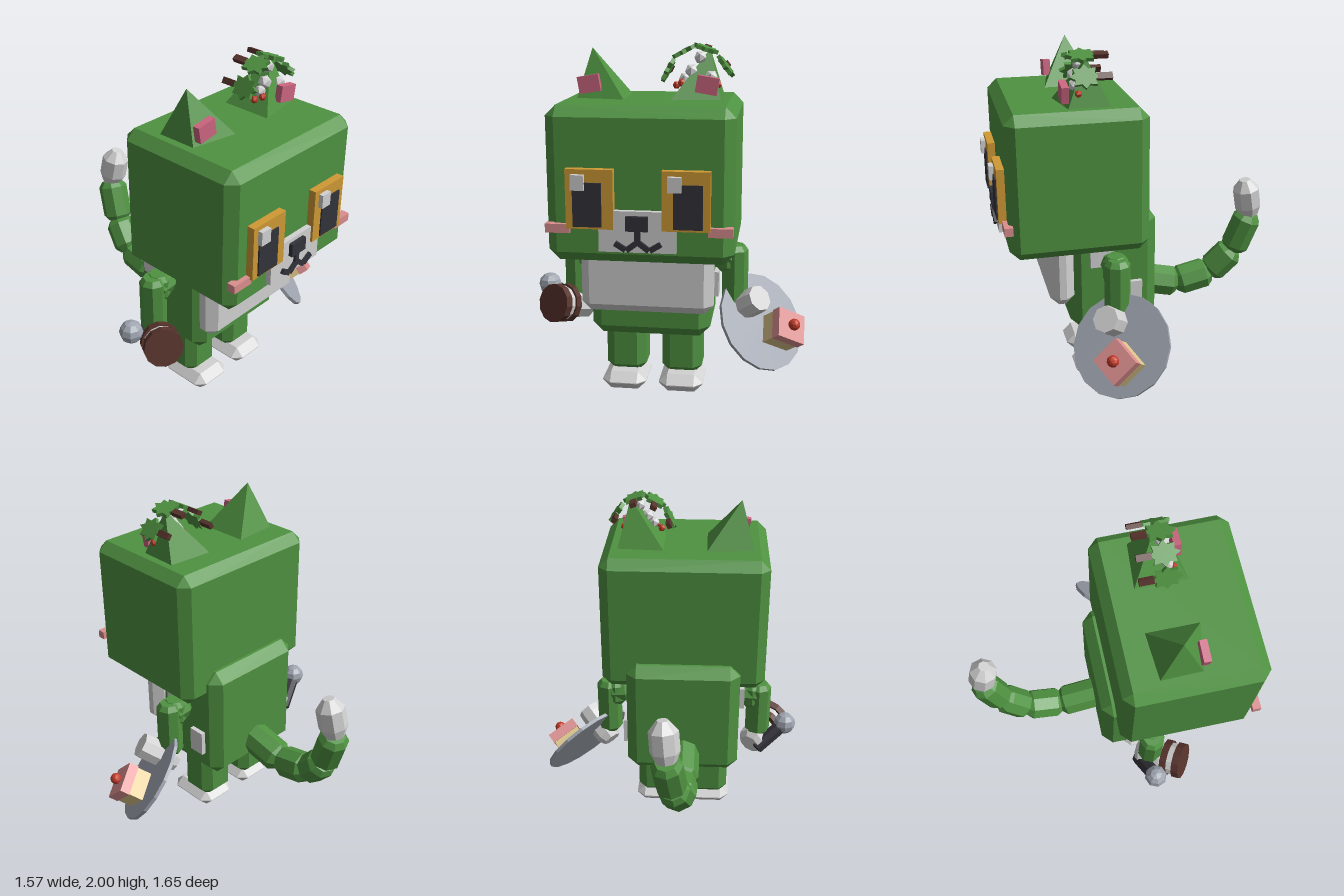
import * as THREE from 'three';
import { ConvexGeometry } from 'three/addons/geometries/ConvexGeometry.js';

const V = (x, y, z) => new THREE.Vector3(x, y, z);
const CX = -0.083; // mirror plane of the head and body

const material = (name, color) => {
  const m = new THREE.MeshStandardMaterial({ color, flatShading: true });
  m.name = name;
  return m;
};

export function createModel() {
  const green = material('green', 0x4f9241);
  const white = material('white', 0xd2d2d2);
  const amber = material('amber', 0xd09a35);
  const dark = material('charcoal', 0x33333b);
  const rose = material('rose', 0xcc6680);
  const pink = material('light pink', 0xdc8f8f);
  const grey = material('blue grey', 0x9fa5b0);
  const tan = material('sponge tan', 0xdcc48a);
  const brown = material('brown', 0x57332c);
  const red = material('red', 0xc23a28);

  const root = new THREE.Group();
  root.name = 'cubeCat';

  const add = (name, geo, mat, pos = [0, 0, 0], parent = root) => {
    const m = new THREE.Mesh(geo, mat);
    m.name = name;
    m.position.set(...pos);
    parent.add(m);
    return m;
  };
  const group = (name) => {
    const g = new THREE.Group();
    g.name = name;
    root.add(g);
    return g;
  };
  const mid = (a, b) => a.map((v, i) => (v + b[i]) / 2);

  // Plain box and chamfered box, both given by two opposite corners
  const box = (name, mat, a, b, parent) =>
    add(name, new THREE.BoxGeometry(...a.map((v, i) => Math.abs(b[i] - v))), mat, mid(a, b), parent);
  const chamferBox = (name, mat, a, b, c, parent) => {
    const h = a.map((v, i) => Math.abs(b[i] - v) / 2);
    const pts = [];
    for (const sx of [-1, 1]) for (const sy of [-1, 1]) for (const sz of [-1, 1])
      for (let k = 0; k < 3; k++) {
        const p = h.map((v, i) => (i === k ? v : v - c));
        pts.push(V(p[0] * sx, p[1] * sy, p[2] * sz));
      }
    return add(name, new ConvexGeometry(pts), mat, mid(a, b), parent);
  };
  // Faceted prism with bevelled ends running from point a to point b
  const prism = (name, mat, a, b, r, { sides = 8, bevel = 0.03, end = 0.7, parent = root } = {}) => {
    const from = V(...a), dir = V(...b).sub(from), L = dir.length();
    const profile = [[0, 0], [r * 0.7, 0], [r, bevel], [r, L - bevel], [r * end, L], [0, L]];
    const geo = new THREE.LatheGeometry(profile.map((p) => new THREE.Vector2(...p)), sides);
    const m = add(name, geo, mat, a, parent);
    m.quaternion.setFromUnitVectors(V(0, 1, 0), dir.normalize());
    return m;
  };

  // Head, body and bib
  chamferBox('head', green, [-0.567, 0.896, -0.02], [0.402, 1.706, 0.757], 0.055);
  chamferBox('body', green, [-0.42, 0.36, -0.097], [0.253, 1.07, 0.41], 0.06);
  chamferBox('bib', white, [-0.45, 0.54, 0.39], [0.28, 1.0, 0.53], 0.05);
  box('sidePatch', white, [0.24, 0.77, 0.165], [0.28, 0.93, 0.3]);
  box('sidePatch', white, [0.24, 0.51, 0], [0.28, 0.66, 0.1]);
  box('sidePatch', white, [-0.45, 0.77, 0.0], [-0.41, 0.9, 0.12]);

  // Paired parts: s = -1 is the model's right, s = 1 its left
  for (const s of [-1, 1]) {
    const X = (d) => CX + s * d;

    // Ear: leaning four-sided pyramid with a small inner plate
    add('ear', new ConvexGeometry([
      V(X(0.393), 1.69, 0.175), V(X(0.113), 1.69, 0.155), V(X(0.113), 1.69, 0.465),
      V(X(0.388), 1.69, 0.415), V(X(0.318), 1.966, 0.3),
    ]), green);
    add('innerEar', new THREE.BoxGeometry(0.115, 0.09, 0.04), rose, [X(0.313), 1.783, 0.42])
      .rotation.z = -s * 0.17;

    // Eye
    box('eyeFrame', amber, [X(0.367), 1.09, 0.74], [X(0.123), 1.397, 0.8]);
    box('pupil', dark, [X(0.33), 1.102, 0.78], [X(0.182), 1.33, 0.808]);
    const gx = s < 0 ? -0.384 : 0.106;
    box('eyeGlint', white, [gx - 0.034, 1.293, 0.78], [gx + 0.034, 1.372, 0.826]);
    box('cheek', pink, [X(0.482), 1.06, 0.735], [X(0.354), 1.107, 0.783]);

    // Mouth strokes
    add('mouthStroke', new THREE.BoxGeometry(0.065, 0.028, 0.03), dark, [X(0.032), 1.004, 0.79])
      .rotation.z = -s * 0.65;
    add('mouthCorner', new THREE.BoxGeometry(0.065, 0.028, 0.03), dark, [X(0.09), 1.003, 0.79])
      .rotation.z = s * 0.55;

    // Leg and foot
    chamferBox('leg', green, [X(0.28), 0.08, 0.053], [X(0.047), 0.46, 0.285], 0.05);
    chamferBox('foot', white, [X(0.293), 0, 0.053], [X(0.037), 0.105, 0.375], 0.05);

    // Arm
    prism('shoulder', green, [X(0.33), 0.79, 0.17], [X(0.47), 0.78, 0.17], 0.075);
    prism('upperArm', green, [X(0.42), 0.86, 0.17], [X(0.42), 0.7, 0.17], 0.072);
    prism('forearm', green, [X(0.462), 0.855, 0.17], [X(0.462), 0.5, 0.17], 0.075);
  }

  // Muzzle, nose and mouth stem
  box('muzzle', white, [-0.286, 0.97, 0.74], [0.111, 1.185, 0.787]);
  box('nose', dark, [-0.143, 1.086, 0.77], [-0.03, 1.162, 0.81]);
  box('mouthStem', dark, [-0.1, 1.01, 0.77], [-0.07, 1.09, 0.802]);

  // Tail of bevelled segments with a pale tip
  const tail = group('tail');
  const joints = [[-0.09, 0.51, -0.03], [-0.09, 0.445, -0.31], [-0.085, 0.495, -0.53],
    [-0.05, 0.65, -0.67], [-0.02, 0.89, -0.755], [0.0, 1.12, -0.71]];
  for (let i = 0; i < 5; i++) {
    const tip = i === 4;
    prism(tip ? 'tailTip' : 'tailSegment', tip ? white : green, joints[i], joints[i + 1],
      tip ? 0.082 : 0.098 - i * 0.003, { end: tip ? 0.4 : 0.7, bevel: tip ? 0.06 : 0.035, parent: tail });
  }

  // Left hand holding a tilted plate; local y is the plate normal
  const tray = group('plateAndCake');
  const u = V(0.78, -0.445, -0.435).normalize();
  const n = V(0.62, 0.555, 0.545);
  n.addScaledVector(u, -n.dot(u)).normalize();
  tray.quaternion.setFromRotationMatrix(
    new THREE.Matrix4().makeBasis(u, n, new THREE.Vector3().crossVectors(u, n)));
  tray.position.set(0.535, 0.4, 0.185);
  add('plate', new THREE.CylinderGeometry(0.292, 0.292, 0.02, 16), grey, [0, 0, 0], tray);
  box('cakeSponge', tan, [0.01, 0, -0.035], [0.185, 0.11, 0.13], tray);
  box('cakeIcing', pink, [0.005, 0.1, -0.04], [0.19, 0.16, 0.135], tray);
  add('cherry', new THREE.IcosahedronGeometry(0.034, 1), red, [0.098, 0.182, 0.048], tray);
  prism('leftHand', white, [-0.122, -0.11, -0.059], [-0.122, 0.14, -0.059], 0.08, { end: 0.95, bevel: 0.04, parent: tray });

  // Right hand holding a sandwich biscuit
  const treat = group('biscuitHand');
  treat.position.set(-0.64, 0.515, 0.34);
  treat.quaternion.setFromUnitVectors(V(0, 1, 0), V(-0.5, 0.25, 0.83).normalize());
  add('biscuitFront', new THREE.CylinderGeometry(0.112, 0.112, 0.045, 12), brown, [0, 0, 0], treat);
  add('biscuitCream', new THREE.CylinderGeometry(0.1, 0.1, 0.04, 12), white, [0, -0.04, 0], treat);
  add('biscuitBack', new THREE.CylinderGeometry(0.112, 0.112, 0.04, 12), brown, [0, -0.08, 0], treat);
  prism('rightHand', white, [0, -0.28, 0], [0, -0.08, 0], 0.09, { parent: treat });

  // Microphone behind the right hand
  prism('microphoneHandle', dark, [-0.54, 0.42, 0.1], [-0.7, 0.555, 0.16], 0.045, { bevel: 0.01, end: 1.1 });
  add('microphoneHead', new THREE.SphereGeometry(0.068, 8, 6), grey, [-0.716, 0.57, 0.166]);

  // Leafy sprig arched over the left ear
  const sprig = group('leafSprig');
  const leafShape = new THREE.Shape();
  for (let i = 0; i < 16; i++) {
    const a = (i / 16) * Math.PI * 2, k = i % 2 ? 0.68 : 1;
    leafShape[i ? 'lineTo' : 'moveTo'](Math.cos(a) * 0.068 * k, Math.sin(a) * 0.085 * k);
  }
  const leafGeo = new THREE.ExtrudeGeometry(leafShape, { depth: 0.022, bevelEnabled: false });
  leafGeo.translate(0, 0, -0.011).rotateX(-Math.PI / 2);
  for (const [x, y, tilt] of [[0.012, 1.85, 1.1], [0.097, 1.95, 0.48], [0.213, 1.965, -0.32], [0.318, 1.875, -0.92]]) {
    add('leaf', leafGeo, green, [x, y, 0.32], sprig).rotation.z = tilt;
    add('leafStem', new THREE.BoxGeometry(0.035, 0.025, 0.08), brown, [x, y, 0.215], sprig).rotation.z = tilt;
  }
  for (const [x, y, z, r] of [[0.14, 1.85, 0.35, 0.038], [0.185, 1.92, 0.33, 0.036], [0.245, 1.82, 0.36, 0.038], [0.105, 1.81, 0.35, 0.034]])
    add('whiteBerry', new THREE.IcosahedronGeometry(r, 0), white, [x, y, z], sprig);
  for (const [x, y, z] of [[0.06, 1.775, 0.35], [0.28, 1.78, 0.35], [0.09, 1.79, 0.38]])
    add('redBerry', new THREE.IcosahedronGeometry(0.022, 0), red, [x, y, z], sprig);

  return root;
}
